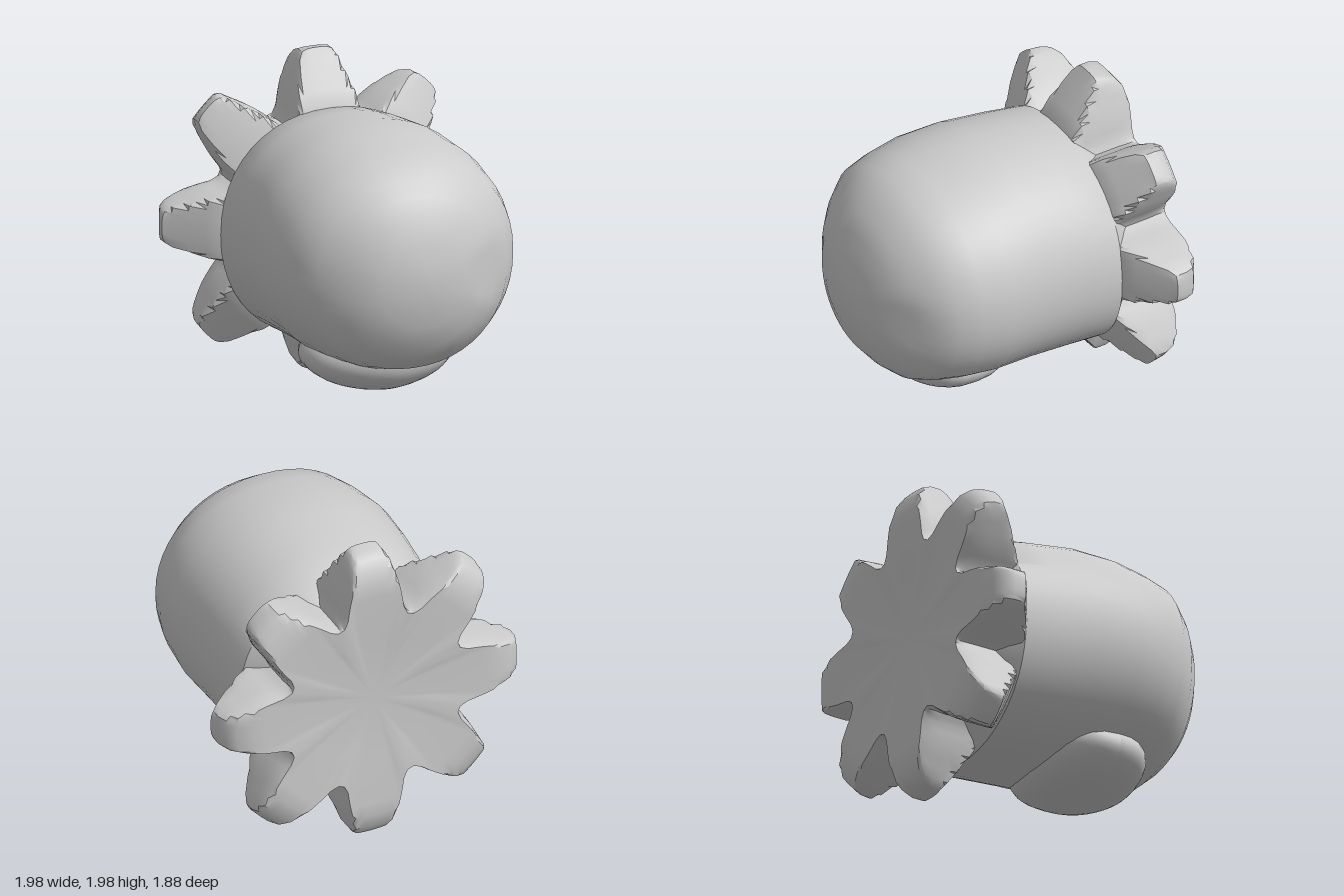
import * as THREE from 'three';
import { toCreasedNormals } from 'three/addons/utils/BufferGeometryUtils.js';

const signedPow = (v, p) => Math.sign(v) * Math.abs(v) ** p;

// Lofts sections [z, ...sizes] along +z; point(section, angle) gives [x, y] on the ring.
function loft(sections, sides, point) {
  const pos = [], index = [];
  for (const s of sections) {
    for (let j = 0; j < sides; j++) {
      pos.push(...point(s, (j / sides) * Math.PI * 2), s[0]);
    }
  }
  for (let i = 0; i < sections.length - 1; i++) {
    for (let j = 0; j < sides; j++) {
      const a = i * sides + j, b = i * sides + ((j + 1) % sides);
      index.push(a, b, b + sides, a, b + sides, a + sides);
    }
  }
  const geo = new THREE.BufferGeometry();
  geo.setAttribute('position', new THREE.Float32BufferAttribute(pos, 3));
  geo.setIndex(index);
  return geo;
}

// Star outline for one lobe: [degrees from the lobe's axis, radius]
const LOBE = [[0, 0.995], [5, 0.985], [7, 0.95], [9, 0.88], [12, 0.8], [15.5, 0.71], [18.5, 0.635], [22.5, 0.59]];

function lobeRadius(deg) {
  for (let i = 1; i < LOBE.length; i++) {
    const [d0, r0] = LOBE[i - 1], [d1, r1] = LOBE[i];
    if (deg <= d1) return THREE.MathUtils.mapLinear(deg, d0, d1, r0, r1);
  }
  return LOBE[LOBE.length - 1][1];
}

export function createModel() {
  const group = new THREE.Group();
  const material = new THREE.MeshStandardMaterial({ color: 0xcccccc });
  const add = (name, geo) => {
    const mesh = new THREE.Mesh(geo, material);
    mesh.name = name;
    group.add(mesh);
    return mesh;
  };

  // Barrel body with a blunt rounded nose: [z, halfWidth, bottom, top]
  const body = loft([
    [-0.8, 0, 1, 1],
    [-0.7, 0.55, 0.44, 1.54],
    [-0.62, 0.61, 0.37, 1.6],
    [-0.53, 0.7, 0.27, 1.67],
    [-0.3, 0.72, 0.3, 1.71],
    [0, 0.74, 0.33, 1.75],
    [0.25, 0.76, 0.35, 1.74],
    [0.45, 0.735, 0.375, 1.71],
    [0.6, 0.69, 0.4, 1.68],
    [0.71, 0.605, 0.43, 1.6],
    [0.8, 0.5, 0.51, 1.51],
    [0.87, 0.39, 0.6, 1.4],
    [0.92, 0.27, 0.74, 1.24],
    [0.945, 0.13, 0.87, 1.12],
    [0.955, 0, 1, 1]
  ], 48, ([, w, lo, hi], a) => [
    w * signedPow(Math.cos(a), 0.93),
    (lo + hi) / 2 + ((hi - lo) / 2) * signedPow(Math.sin(a), 0.93)
  ]);
  // The left cheek is shaved flat
  const cheek = new THREE.Plane(new THREE.Vector3(0.56, 0, 0.83).normalize(), -0.925);
  const bp = body.attributes.position, v = new THREE.Vector3();
  for (let i = 0; i < bp.count; i++) {
    v.fromBufferAttribute(bp, i);
    if (cheek.distanceToPoint(v) > 0) {
      cheek.projectPoint(v, v);
      bp.setXYZ(i, v.x, v.y, v.z);
    }
  }
  add('body', toCreasedNormals(body, 0.6));

  // Pad under the belly: tapered across, boxier lengthwise
  const pad = new THREE.SphereGeometry(1, 32, 24);
  const pp = pad.attributes.position;
  for (let i = 0; i < pp.count; i++) {
    pp.setX(i, signedPow(pp.getX(i), 1.15));
    pp.setZ(i, signedPow(pp.getZ(i), 0.8));
  }
  pad.scale(0.46, 0.22, 0.37);
  pad.computeVertexNormals();
  add('bellyPad', pad).position.set(-0.05, 0.43, 0.27);

  // Star of eight lobes round the back, with a slightly dished rear face:
  // [z, reach limit, lobe width, scale]
  const star = loft([
    [-0.89, 0.7, 0.85, 0],
    [-0.9, 0.7, 0.85, 0.6],
    [-0.925, 0.72, 0.87, 1],
    [-0.925, 0.81, 0.9, 1],
    [-0.9, 0.9, 0.95, 1],
    [-0.86, 0.955, 1, 1],
    [-0.8, 0.98, 1.03, 1],
    [-0.73, 0.99, 1.03, 1],
    [-0.7, 0.945, 1.03, 1],
    [-0.64, 0.865, 1.03, 1],
    [-0.58, 0.775, 1.03, 1],
    [-0.52, 0.69, 1, 1],
    [-0.51, 0.64, 1, 1],
    [-0.51, 0.64, 1, 0]
  ], 192, ([, reach, width, scale], a) => {
    const deg = THREE.MathUtils.radToDeg(a);
    const off = Math.abs(((deg + 22.5) % 45) - 22.5);
    const r = scale * Math.min(reach, lobeRadius(off / width));
    return [r * Math.cos(a), r * Math.sin(a)];
  });
  add('lobeStar', toCreasedNormals(star, 0.6)).position.y = 0.993;
  return group;
}
